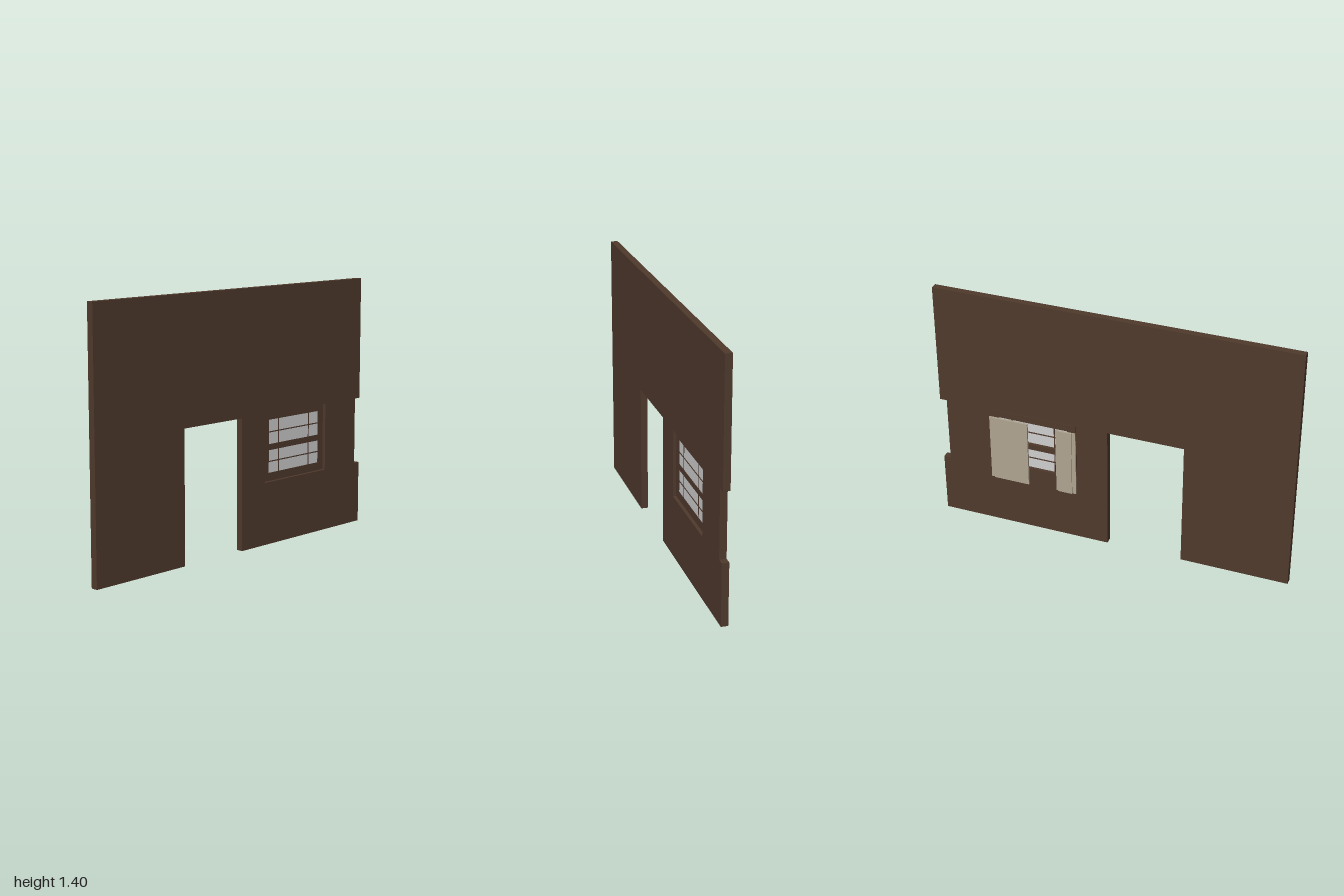
import * as THREE from 'three';

export function createModel() {
  const model = new THREE.Group();
  const mat = (name, color) => {
    const m = new THREE.MeshStandardMaterial({ color });
    m.name = name;
    return m;
  };
  const wood = mat('brown wood', 0x503a2d);
  const glass = mat('pale glass', 0xd0d0d0);
  const cloth = mat('beige cloth', 0xb0a592);

  const polygon = (pts) => new THREE.Shape(pts.map(([x, y]) => new THREE.Vector2(x, y)));
  const rect = (x0, x1, y0, y1) => [[x0, y0], [x1, y0], [x1, y1], [x0, y1]];
  const add = (parent, name, geometry, material) => {
    const mesh = new THREE.Mesh(geometry, material);
    mesh.name = name;
    parent.add(mesh);
    return mesh;
  };
  // Flat plate cut from a shape, between two depths
  const plate = (parent, name, shape, z0, z1, material) => {
    const g = new THREE.ExtrudeGeometry(shape, { depth: z1 - z0, bevelEnabled: false });
    return add(parent, name, g.translate(0, 0, z0), material);
  };

  // Wall with doorway, edge notch and window opening
  const wallShape = polygon([
    [-1, 0], [-0.4, 0], [-0.4, 0.72], [0.025, 0.72], [0.025, 0], [1, 0],
    [1, 0.345], [0.96, 0.345], [0.96, 0.72], [1, 0.72], [1, 1.403], [-1, 1.403],
  ]);
  wallShape.holes.push(polygon(rect(0.205, 0.7, 0.345, 0.72)));
  plate(model, 'wall', wallShape, -0.01, 0.028, wood);

  // Recessed window frame with two long openings
  const win = new THREE.Group();
  win.name = 'window';
  model.add(win);
  const panes = [[0.39, 0.515], [0.548, 0.682]];
  const frameShape = polygon(rect(0.203, 0.702, 0.343, 0.722));
  panes.forEach(([y0, y1]) => frameShape.holes.push(polygon(rect(0.253, 0.658, y0, y1))));
  plate(win, 'windowFrame', frameShape, -0.013, 0.01, wood);

  // Panes and thin glazing bars
  panes.forEach(([y0, y1]) => {
    const mid = (y0 + y1) / 2;
    plate(win, 'pane', polygon(rect(0.253, 0.658, y0, y1)), 0.004, 0.008, glass);
    plate(win, 'crossBar', polygon(rect(0.253, 0.658, mid - 0.003, mid + 0.003)), 0.001, 0.01, wood);
    [0.333, 0.578].forEach((x) =>
      plate(win, 'uprightBar', polygon(rect(x - 0.003, x + 0.003, y0, y1)), 0.001, 0.0098, wood));
  });

  // Curtains: folded cross-sections drawn in x and z, hung down from the top
  const curtain = (name, pts) => {
    const g = new THREE.ExtrudeGeometry(polygon(pts), { depth: 0.39, bevelEnabled: false });
    g.rotateX(Math.PI / 2).translate(0, 0.68, 0);
    add(win, name, g, cloth);
  };
  curtain('wideCurtain', [
    [0.48, -0.015], [0.48, -0.027], [0.685, -0.027], [0.685, -0.021], [0.704, -0.021], [0.704, -0.015],
  ]);
  curtain('narrowCurtain', [
    [0.203, -0.015], [0.203, -0.021], [0.225, -0.021], [0.225, -0.027],
    [0.305, -0.027], [0.305, -0.021], [0.318, -0.021], [0.318, -0.015],
  ]);

  return model;
}
